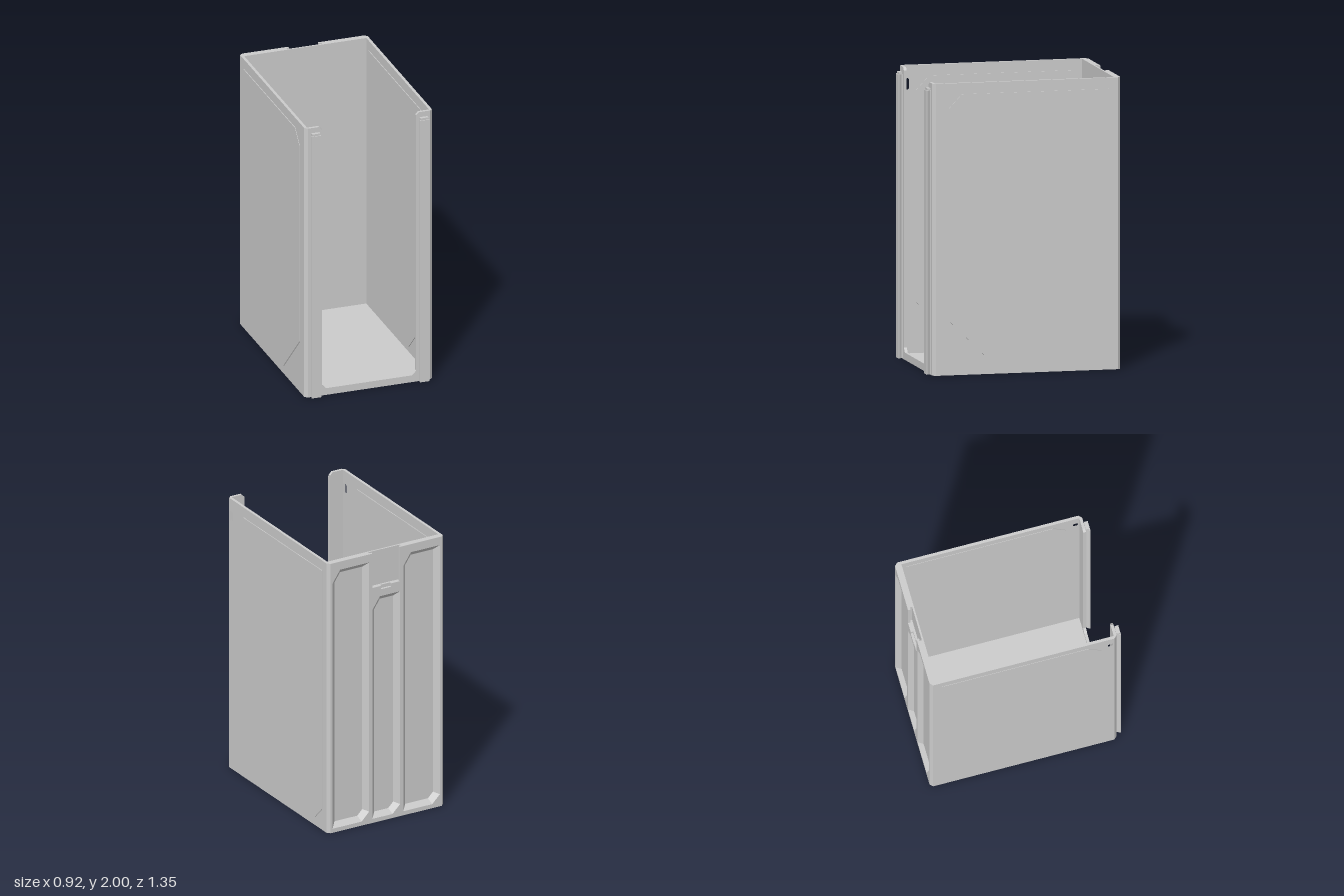
import * as THREE from 'three';

const grey = new THREE.MeshStandardMaterial({ color: 0xcccccc, flatShading: true });
const greyDouble = new THREE.MeshStandardMaterial({ color: 0xcccccc, flatShading: true, side: THREE.DoubleSide });

const toPoints = (pts) => pts.map(([a, b]) => new THREE.Vector2(a, b));

function makeShape(pts, holes = []) {
  const shape = new THREE.Shape(toPoints(pts));
  shape.holes = holes.map((h) => new THREE.Path(toPoints(h)));
  return shape;
}

const extrude = (shape, depth) => new THREE.ExtrudeGeometry(shape, { depth, bevelEnabled: false });

// Outline in (x, y), thickness along z from z0 to z1
const facing = (pts, z0, z1, holes) => extrude(makeShape(pts, holes), z1 - z0).translate(0, 0, z0);

// Outline in (z, y), thickness along x from x0 to x1
function sideways(pts, x0, x1, holes = []) {
  const flip = (list) => list.map(([z, y]) => [-z, y]);
  return extrude(makeShape(flip(pts), holes.map(flip)), x1 - x0).rotateY(Math.PI / 2).translate(x0, 0, 0);
}

// Outline in (x, z), height from y0 to y1
const upright = (pts, y0, y1) =>
  extrude(makeShape(pts.map(([x, z]) => [x, -z])), y1 - y0).rotateX(-Math.PI / 2).translate(0, y0, 0);

// Moves every edge of a convex counter-clockwise outline inward by d
function inset(pts, d) {
  const n = pts.length;
  const normal = (a, b) => {
    const l = Math.hypot(b[0] - a[0], b[1] - a[1]);
    return [-(b[1] - a[1]) / l, (b[0] - a[0]) / l];
  };
  return pts.map((p, i) => {
    const u = normal(pts[(i + n - 1) % n], p), v = normal(p, pts[(i + 1) % n]);
    const k = d / (1 + u[0] * v[0] + u[1] * v[1]);
    return [p[0] + (u[0] + v[0]) * k, p[1] + (u[1] + v[1]) * k];
  });
}

// Sloping band between two outlines at different depths
function bevelBand(outer, inner, zOuter, zInner) {
  const pos = [];
  outer.forEach((a, i) => {
    const j = (i + 1) % outer.length, b = outer[j], c = inner[j], d = inner[i];
    pos.push(...a, zOuter, ...d, zInner, ...c, zInner, ...a, zOuter, ...c, zInner, ...b, zOuter);
  });
  const g = new THREE.BufferGeometry();
  g.setAttribute('position', new THREE.Float32BufferAttribute(pos, 3));
  g.computeVertexNormals();
  return g;
}

export function createModel() {
  const model = new THREE.Group();
  const add = (name, geometry, material = grey) => {
    const mesh = new THREE.Mesh(geometry, material);
    mesh.name = name;
    model.add(mesh);
  };

  const H = 2, IN = 0.44, OUT = 0.46;
  const BACK = -0.675, INNER_BACK = -0.63, FLANGE = 0.62, FRONT = 0.64;

  // Floor
  add('floor', new THREE.BoxGeometry(2 * IN, 0.025, FLANGE - INNER_BACK)
    .translate(0, 0.0125, (FLANGE + INNER_BACK) / 2));

  // Side walls: a core with a grooved skin on both faces and a small window
  const wall = [[INNER_BACK, 0], [FLANGE, 0], [FLANGE, H], [INNER_BACK, H]];
  const window = [[0.585, 1.83], [0.605, 1.83], [0.615, 1.84], [0.615, 1.9],
    [0.605, 1.91], [0.585, 1.91], [0.575, 1.9], [0.575, 1.84]];
  const panel = [[-0.6, 0.15], [-0.5, 0.05], [0.21, 0.05], [0.535, 0.37],
    [0.535, 1.83], [0.44, 1.93], [-0.6, 1.93]];
  const panelInner = inset(panel, 0.007);
  const skin = 0.005;
  for (const s of [1, -1]) {
    const side = s > 0 ? 'left' : 'right';
    const span = (a, b) => (s > 0 ? [a, b] : [-b, -a]);
    add(side + 'WallCore', sideways(wall, ...span(IN + skin, OUT - skin), [window]));
    for (const [a, b, face] of [[IN, IN + skin, 'Inner'], [OUT - skin, OUT, 'Outer']]) {
      add(side + face + 'Frame', sideways(wall, ...span(a, b), [panel, window]));
      add(side + face + 'Panel', sideways(panelInner, ...span(a, b)));
    }

    // Chamfered corner strips
    add(side + 'FrontCorner', upright([[s * IN, FLANGE], [s * OUT, FLANGE], [s * IN, FRONT]], 0, H));
    add(side + 'BackCorner', upright([[s * IN, INNER_BACK], [s * OUT, INNER_BACK],
      [s * OUT, BACK + 0.02], [s * IN, BACK]], 0, H));

    // Flared slide rail on the front flange
    const half = [[0.022, FRONT], [0.022, 0.65], [0.035, 0.668], [0.035, 0.675]];
    const profile = [...half, ...half.map(([x, z]) => [-x, z]).reverse()]
      .map(([x, z]) => [s * 0.39 + x, z]);
    add(side + 'Rail', upright(profile, 0.005, 1.95));
    add(side + 'RailTip', upright(inset(
      [[s * 0.39 - 0.035, FRONT], [s * 0.39 + 0.035, FRONT],
        [s * 0.39 + 0.035, 0.675], [s * 0.39 - 0.035, 0.675]], 0.006), 1.95, 1.965));
  }

  // U-shaped front flange around the opening
  const edge = [[0.36, H], [0.34, 1.98], [0.34, 0.08], [0.31, 0.05]];
  add('frontFlange', facing([
    [-IN, 0], [IN, 0], [IN, H], ...edge,
    ...edge.map(([x, y]) => [-x, y]).reverse(), [-IN, H],
  ], FLANGE, FRONT));

  // Back wall: solid inner sheet, then layers cut by slots and a latch notch
  const floorZ = -0.642, lipZ = -0.657;
  add('backSheet', facing([[-IN, 0], [IN, 0], [IN, H], [-IN, H]], floorZ, INNER_BACK));

  const slots = [[0.135, 0.425, 1.94], [-0.11, 0.11, 1.67], [-0.425, -0.135, 1.94]]
    .map(([x0, x1, top]) => [[x0 + 0.06, 0.03], [x1, 0.03], [x1, top - 0.09],
      [x1 - 0.06, top], [x0, top], [x0, 0.09]]);
  const backOutline = (notch) => [
    [-IN, 0], [IN, 0], [IN, H], ...notch,
    ...notch.map(([x, y]) => [-x, y]).reverse(), [-IN, H],
  ];
  add('backInnerLayer', facing(backOutline([[0.125, H], [0.125, 1.745]]), lipZ, floorZ, slots));
  add('backOuterLayer', facing(backOutline([[0.108, H], [0.108, 1.745], [0.04, 1.745], [0.04, 1.72]]),
    BACK, lipZ, slots));

  // Sloping sides of the back slots
  slots.forEach((slot, i) =>
    add('slotBevel' + (i + 1), bevelBand(slot, inset(slot, 0.035), BACK, floorZ), greyDouble));

  return model;
}
